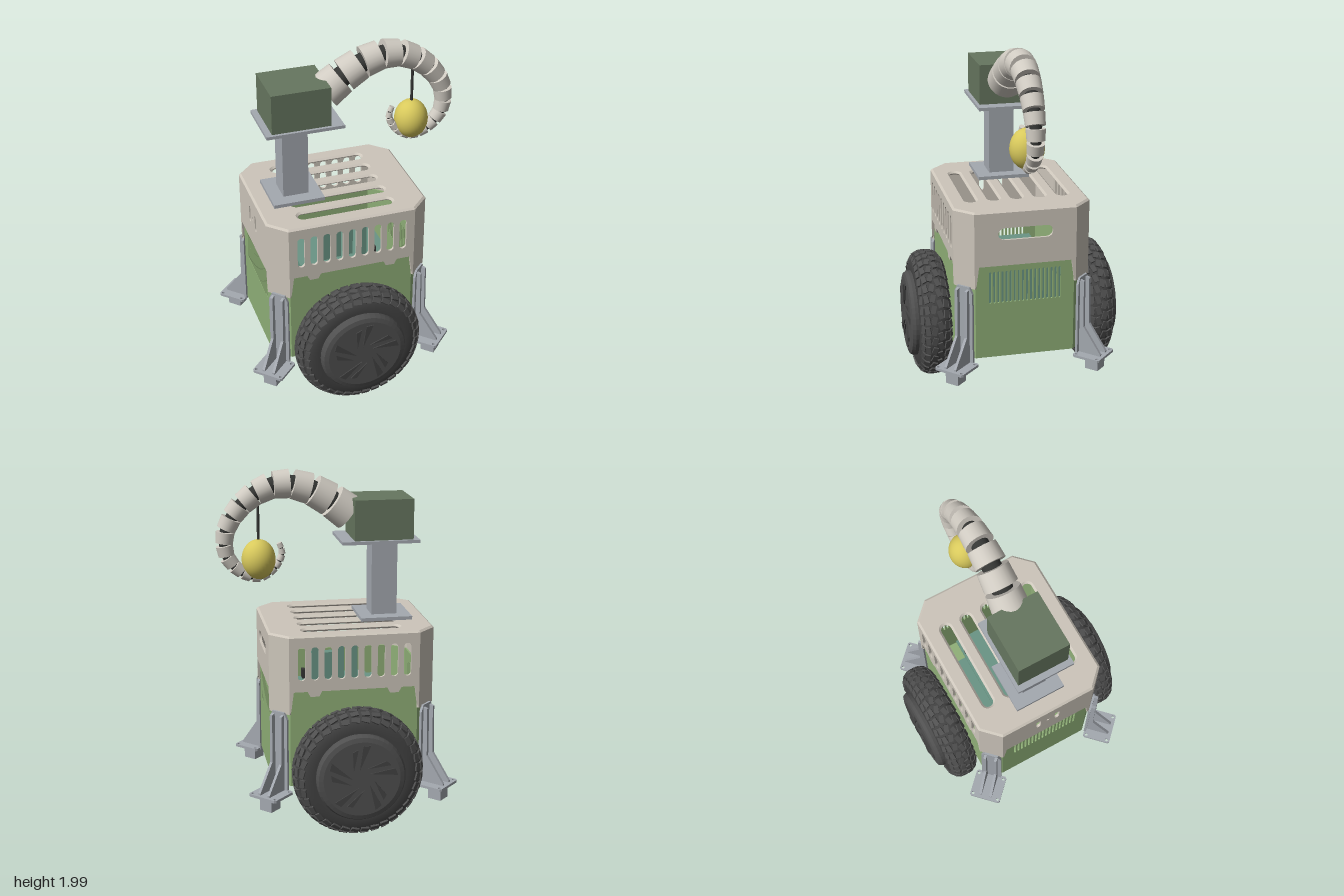
import * as THREE from 'three';
import { mergeGeometries } from 'three/addons/utils/BufferGeometryUtils.js';

const material = (name, color) => Object.assign(new THREE.MeshStandardMaterial({ color }), { name });
const beige = material('warm beige', 0xcdc6bb);
const bone = material('bone white', 0xd0cbc2);
const green = material('leaf green', 0x90b078);
const moss = material('moss green', 0x66765f);
const teal = material('circuit teal', 0x6a9585);
const steel = material('steel grey', 0xa4a9b0);
const rubber = material('rubber grey', 0x434343);
const tread = material('tread grey', 0x505050);
const dark = material('dark grey', 0x353634);
const yellow = material('lemon yellow', 0xd8c95c);

const CX = -0.0675; // body centre in x
const HX = 0.4675, HZ = 0.39, CHAMFER = 0.1;

function add(parent, name, geometry, mat, x = 0, y = 0, z = 0) {
  const mesh = new THREE.Mesh(geometry, mat);
  mesh.name = name;
  mesh.position.set(x, y, z);
  parent.add(mesh);
  return mesh;
}

function box(parent, name, mat, x0, x1, y0, y1, z0, z1) {
  return add(parent, name, new THREE.BoxGeometry(x1 - x0, y1 - y0, z1 - z0), mat,
    (x0 + x1) / 2, (y0 + y1) / 2, (z0 + z1) / 2);
}

const shapeOf = (points) => new THREE.Shape(points.map(([x, y]) => new THREE.Vector2(x, y)));

// Rounded slot used as a hole
function slot(x, y, w, h) {
  const r = Math.min(w, h) / 2, dx = w / 2 - r, dy = h / 2 - r, q = Math.PI / 2;
  const p = new THREE.Path();
  [[1, 1], [-1, 1], [-1, -1], [1, -1]].forEach(([sx, sy], i) =>
    p.absarc(x + sx * dx, y + sy * dy, r, i * q, (i + 1) * q, false));
  return p;
}

// Flat panel with its outer face at z = 0
function panel(points, holes, thickness) {
  const shape = shapeOf(points);
  shape.holes = holes;
  return new THREE.ExtrudeGeometry(shape, { depth: thickness, bevelEnabled: false, curveSegments: 5 })
    .translate(0, 0, -thickness);
}

// The eight sides of a chamfered rectangle: place, heading and half width
function sides(hx, hz, c) {
  const list = [];
  for (const s of [1, -1]) {
    list.push({ kind: 'z', s, x: 0, z: s * hz, ry: s > 0 ? 0 : Math.PI, w: hx - c });
    list.push({ kind: 'x', s, x: s * hx, z: 0, ry: s * Math.PI / 2, w: hz - c });
    for (const t of [1, -1]) {
      list.push({ kind: 'corner', s, x: s * (hx - c / 2), z: t * (hz - c / 2), ry: Math.atan2(s, t), w: c * Math.SQRT1_2 });
    }
  }
  return list;
}

const octagon = (hx, hz, c) => [[hx - c, -hz], [hx, c - hz], [hx, hz - c], [hx - c, hz],
  [c - hx, hz], [-hx, hz - c], [-hx, c - hz], [c - hx, -hz]];

const row = (n, step, make) => Array.from({ length: n }, (_, i) => make((i - (n - 1) / 2) * step));

function buildShell() {
  const shell = new THREE.Group();
  shell.name = 'upperShell';
  for (const f of sides(HX, HZ, CHAMFER)) {
    const w = f.w;
    let pts = [[-w, 0.69], [w, 0.69], [w, 1.13], [-w, 1.13]], holes = [];
    if (f.kind !== 'corner') {
      // lower edge arches over the green body; long sides carry small screw tabs
      const tabs = f.kind === 'z' ? [-0.225, 0.225].flatMap((x) =>
        [[x - 0.04, 0.82], [x - 0.025, 0.79], [x + 0.025, 0.79], [x + 0.04, 0.82]]) : [];
      pts = [[-w, 0.69], [-w + 0.01, 0.71], [-w + 0.025, 0.82], ...tabs,
        [w - 0.025, 0.82], [w - 0.01, 0.71], [w, 0.69], [w, 1.13], [-w, 1.13]];
      if (f.kind === 'z') holes = row(9, 0.0745, (x) => slot(x, 0.98, 0.042, 0.19));
      else if (f.s > 0) holes = [slot(0, 1.005, 0.31, 0.07)];
      else holes = [slot(-0.06, 1, 0.03, 0.1), slot(0.06, 1, 0.03, 0.1), slot(0, 1, 0.02, 0.02)];
    }
    add(shell, 'shellPanel', panel(pts, holes, 0.015), beige, f.x, 0, f.z).rotation.y = f.ry;
  }
  const lid = shapeOf(octagon(HX, HZ, CHAMFER));
  lid.holes = row(5, 0.1325, (y) => slot(0, y, 0.55, 0.06));
  const lidGeometry = new THREE.ExtrudeGeometry(lid, {
    depth: 0.002, bevelThickness: 0.01, bevelSize: 0.012, bevelOffset: -0.012, bevelSegments: 1, curveSegments: 4 });
  add(shell, 'shellLid', lidGeometry.rotateX(-Math.PI / 2), beige, 0, 1.128, 0);
  shell.position.x = CX;
  return shell;
}

function buildBody() {
  const body = new THREE.Group();
  body.name = 'lowerBody';
  const hx = HX - 0.016, hz = HZ - 0.016, c = CHAMFER - 0.01;
  for (const f of sides(hx, hz, c)) {
    const holes = f.kind === 'x' ? row(18, 0.0235, (x) => slot(x, 0.685, 0.0125, 0.19)) : [];
    const pts = [[-f.w, 0.26], [f.w, 0.26], [f.w, 0.84], [-f.w, 0.84]];
    add(body, 'bodyPanel', panel(pts, holes, 0.01), green, f.x, 0, f.z).rotation.y = f.ry;
  }
  add(body, 'bodyFloor', panel(octagon(hx, hz, c), [], 0.012).rotateX(-Math.PI / 2), green, 0, 0.273, 0);
  body.position.x = CX;
  return body;
}

// Circuit boards and components inside the body
function buildElectronics() {
  const g = new THREE.Group();
  g.name = 'electronics';
  box(g, 'batteryBlock', teal, -0.255, 0.115, 0.28, 0.71, -0.3, 0.3);
  box(g, 'circuitBoard', teal, -0.3, 0.23, 0.71, 0.725, -0.19, 0.19);
  for (const [x, z, w, d, top] of [[-0.145, 0.1, 0.05, 0.08, 0.97], [-0.07, 0.1, 0.04, 0.06, 0.97],
    [0.0, 0.1, 0.05, 0.05, 0.9], [0.077, 0.13, 0.04, 0.06, 0.93], [0.03, -0.14, 0.06, 0.05, 0.8]]) {
    box(g, 'component', teal, x - w / 2, x + w / 2, 0.72, top, z - d / 2, z + d / 2);
  }
  box(g, 'chip', dark, 0.13, 0.15, 0.72, 0.78, 0.14, 0.18);
  box(g, 'chip', dark, 0.13, 0.15, 0.72, 0.78, -0.18, -0.14);
  return g;
}

function buildWheel(side) {
  const wheel = new THREE.Group();
  wheel.name = side > 0 ? 'frontWheel' : 'backWheel';
  const lathe = (pts) => new THREE.LatheGeometry(pts.map(([r, y]) => new THREE.Vector2(r, y)), 64).rotateX(Math.PI / 2);
  add(wheel, 'tyre', lathe([[0, -0.09], [0.26, -0.09], [0.3, -0.086], [0.335, -0.07], [0.355, -0.04], [0.361, 0],
    [0.355, 0.04], [0.335, 0.07], [0.3, 0.086], [0.26, 0.09], [0, 0.09]]), rubber);

  // Staggered tread blocks: [rim radius, sideways place, lean, twist]
  const rows = [[0.3605, -0.018, -0.08, 0.3], [0.3605, 0.018, 0.08, -0.3], [0.35, -0.052, -0.5, -0.15],
    [0.35, 0.052, 0.5, 0.15], [0.325, -0.076, -0.95, 0.2], [0.325, 0.076, 0.95, -0.2]];
  const blocks = [];
  rows.forEach(([r, z, lean, twist], k) => {
    for (let i = 0; i < 36; i++) {
      blocks.push(new THREE.BoxGeometry(0.046, 0.014, 0.028).rotateY(twist).rotateX(lean)
        .translate(0, r, z).rotateZ((i + (k % 2) / 2) * Math.PI / 18));
    }
  });
  add(wheel, 'treadBlocks', mergeGeometries(blocks), tread);

  // Bulging hub cover with five swirling blades
  const hub = new THREE.ExtrudeGeometry(new THREE.Shape().absarc(0, 0, 0.215, 0, Math.PI * 2), {
    depth: 0.025, bevelThickness: 0.025, bevelSize: 0.035, bevelSegments: 2, curveSegments: 24 });
  add(wheel, 'hubCover', hub, tread, 0, 0, 0.084);
  const blades = [];
  for (let i = 0; i < 5; i++) {
    for (const pts of [[[0.045, 0.03], [0.2, 0.015], [0.185, 0.055]], [[0.03, 0.06], [0.16, 0.075], [0.135, 0.1]]]) {
      blades.push(new THREE.ExtrudeGeometry(shapeOf(pts), { depth: 0.006, bevelEnabled: false })
        .rotateZ(i * Math.PI * 0.4));
    }
  }
  add(wheel, 'hubBlades', mergeGeometries(blades), rubber, 0, 0, 0.134);
  wheel.position.set(CX, 0.375, side * 0.482);
  wheel.rotation.y = side > 0 ? 0 : Math.PI;
  return wheel;
}

// Corner bracket, local +z points away from the body
function buildLeg(f) {
  const leg = new THREE.Group();
  leg.name = 'cornerLeg';
  const back = panel([[-0.06, 0.23], [0.06, 0.23], [0.06, 0.66], [0.04, 0.7], [-0.04, 0.7], [-0.06, 0.66]], [], 0.015);
  add(leg, 'legPlate', back, steel, 0, 0, 0.012);
  const rib = new THREE.ExtrudeGeometry(shapeOf([[0, 0.235], [0.15, 0.235], [0.15, 0.25], [0.04, 0.4], [0.035, 0.68], [0, 0.69]]),
    { depth: 0.016, bevelEnabled: false }).translate(0, 0, -0.008).rotateY(-Math.PI / 2);
  for (const x of [-0.032, 0.032]) add(leg, 'legRib', rib, steel, x, 0, 0);
  const holes = [-1, 1].flatMap((a) => [-1, 1].map((b) => slot(a * 0.078, b * 0.066, 0.018, 0.018)));
  const flange = panel([[-0.095, -0.075], [-0.085, -0.085], [0.085, -0.085], [0.095, -0.075],
    [0.095, 0.075], [0.085, 0.085], [-0.085, 0.085], [-0.095, 0.075]], holes, 0.015);
  add(leg, 'legFlange', flange.rotateX(-Math.PI / 2), steel, 0, 0.24, 0.085);
  box(leg, 'foot', steel, -0.041, 0.041, 0.145, 0.228, 0.055, 0.137);
  leg.position.set(CX + f.x, 0, f.z);
  leg.rotation.y = f.ry;
  return leg;
}

// Curling segmented arm tapering towards its tip
function buildArm() {
  const arm = new THREE.Group();
  arm.name = 'curledArm';
  const curve = new THREE.CatmullRomCurve3([[-0.1, 1.743], [0.034, 1.838], [0.156, 1.898], [0.283, 1.918], [0.38, 1.892],
    [0.468, 1.839], [0.54, 1.765], [0.588, 1.685], [0.606, 1.606], [0.595, 1.521], [0.553, 1.458], [0.49, 1.41],
    [0.415, 1.391], [0.347, 1.42], [0.299, 1.474], [0.28, 1.526], [0.299, 1.588]].map(([x, y]) => new THREE.Vector3(x, y, 0)));
  const radius = (u) => 0.105 - 0.09 * u;
  const link = (name, u0, u1, scale, mat) => {
    const a = curve.getPointAt(u0), b = curve.getPointAt(Math.min(u1, 1)), d = b.clone().sub(a);
    const mesh = add(arm, name, new THREE.CylinderGeometry(radius(u1) * scale, radius(u0) * scale, d.length(), 24), mat);
    mesh.position.copy(a).lerp(b, 0.5);
    mesh.quaternion.setFromUnitVectors(new THREE.Vector3(0, 1, 0), d.normalize());
  };
  const N = 20, Q = 0.93, total = (1 - Q ** N) / (1 - Q);
  for (let i = 0, u = 0; i < N; i++) {
    const step = Q ** i / total;
    link('armSegment', u, u + step * 0.83, 1, bone);
    if (i < N - 1) link('armJoint', u + step * 0.75, u + step * 1.08, 0.6, dark);
    u += step;
  }
  return arm;
}

export function createModel() {
  const model = new THREE.Group();
  model.name = 'wheeledRobot';
  model.add(buildShell(), buildBody(), buildElectronics(), buildWheel(1), buildWheel(-1));
  sides(HX, HZ, CHAMFER).filter((f) => f.kind === 'corner').forEach((f) => model.add(buildLeg(f)));

  // Mast and head box
  box(model, 'mastBase', steel, -0.445, -0.15, 1.14, 1.16, -0.15, 0.15);
  box(model, 'mast', steel, -0.37, -0.222, 1.16, 1.59, -0.073, 0.073);
  box(model, 'headPlate', steel, -0.48, -0.037, 1.588, 1.606, -0.168, 0.168);
  box(model, 'headBox', moss, -0.445, -0.11, 1.606, 1.835, -0.15, 0.15);
  model.add(buildArm());

  // Held fruit and its stem
  add(model, 'fruit', new THREE.SphereGeometry(0.096, 32, 24).scale(1, 1.19, 1), yellow, 0.414, 1.492, 0);
  add(model, 'fruitStem', new THREE.CylinderGeometry(0.008, 0.008, 0.22, 10), dark, 0.414, 1.695, 0);
  return model;
}
